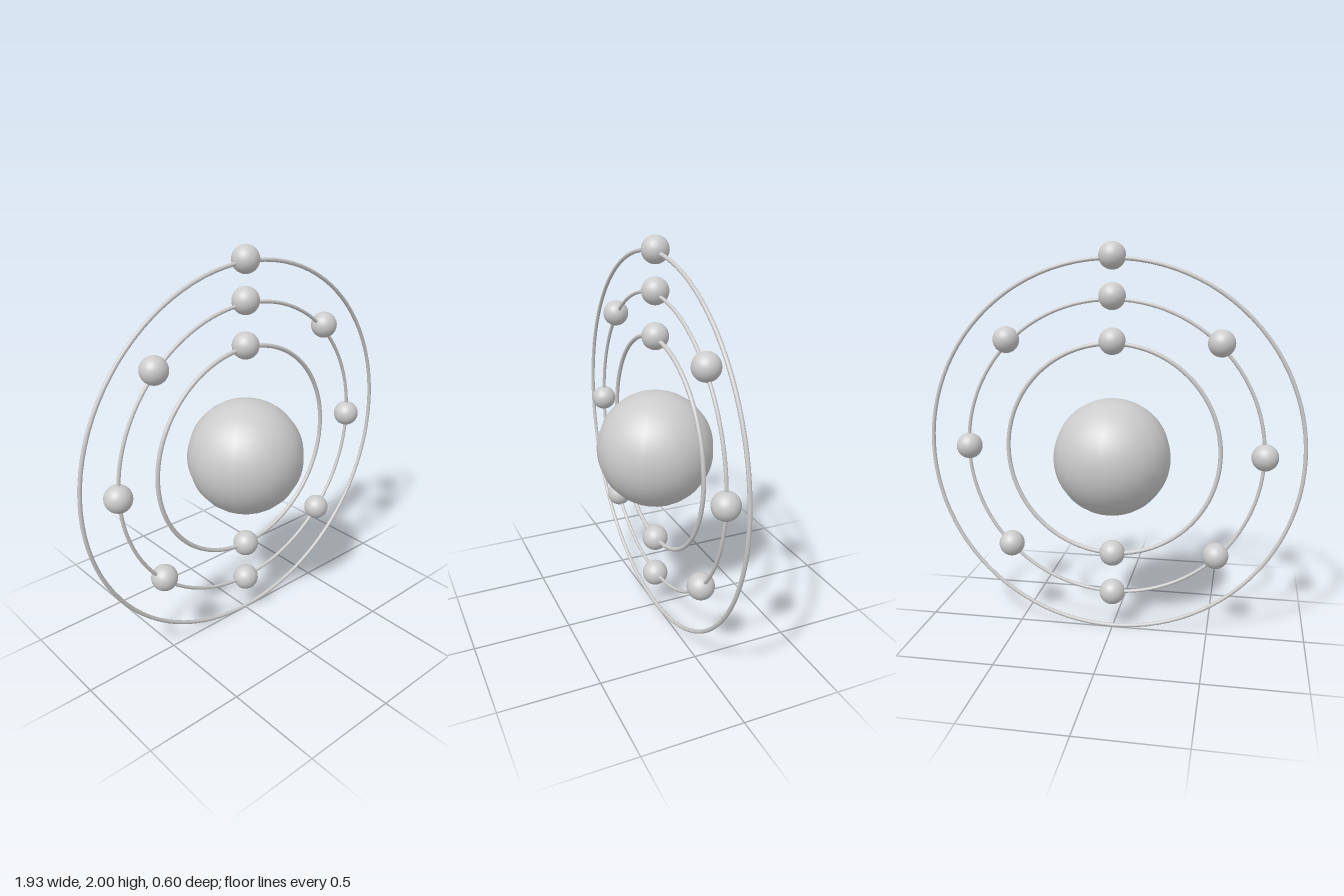
import * as THREE from 'three';

export function createModel() {
  const model = new THREE.Group();
  const material = new THREE.MeshStandardMaterial({ color: 0xcccccc });
  const centerY = 0.966;

  const add = (parent, name, geometry, x, y) => {
    const mesh = new THREE.Mesh(geometry, material);
    mesh.name = name;
    mesh.position.set(x, y, 0);
    parent.add(mesh);
  };

  // Central nucleus, sitting slightly below the ring centre
  add(model, 'nucleus', new THREE.SphereGeometry(0.298, 20, 32), 0, 0.938);

  // Electron positions as [x, y]
  const shells = [
    { name: 'innerShell', radius: 0.546, tube: 0.011, electrons: [[0, 1.523], [0, 0.42]] },
    {
      name: 'middleShell', radius: 0.76, tube: 0.009,
      electrons: [
        [0, 1.741], [0.543, 1.522], [0.758, 0.967], [0.543, 0.44],
        [0, 0.203], [-0.535, 0.44], [-0.763, 0.967], [-0.535, 1.522],
      ],
    },
    { name: 'outerShell', radius: 0.956, tube: 0.01, electrons: [[0, 1.933]] },
  ];

  // Orbit rings with their electrons
  const electron = new THREE.SphereGeometry(0.067, 32, 20);
  for (const { name, radius, tube, electrons } of shells) {
    const shell = new THREE.Group();
    shell.name = name;
    add(shell, 'orbitRing', new THREE.TorusGeometry(radius, tube, 12, 96), 0, centerY);
    for (const [x, y] of electrons) add(shell, 'electron', electron, x, y);
    model.add(shell);
  }
  return model;
}
